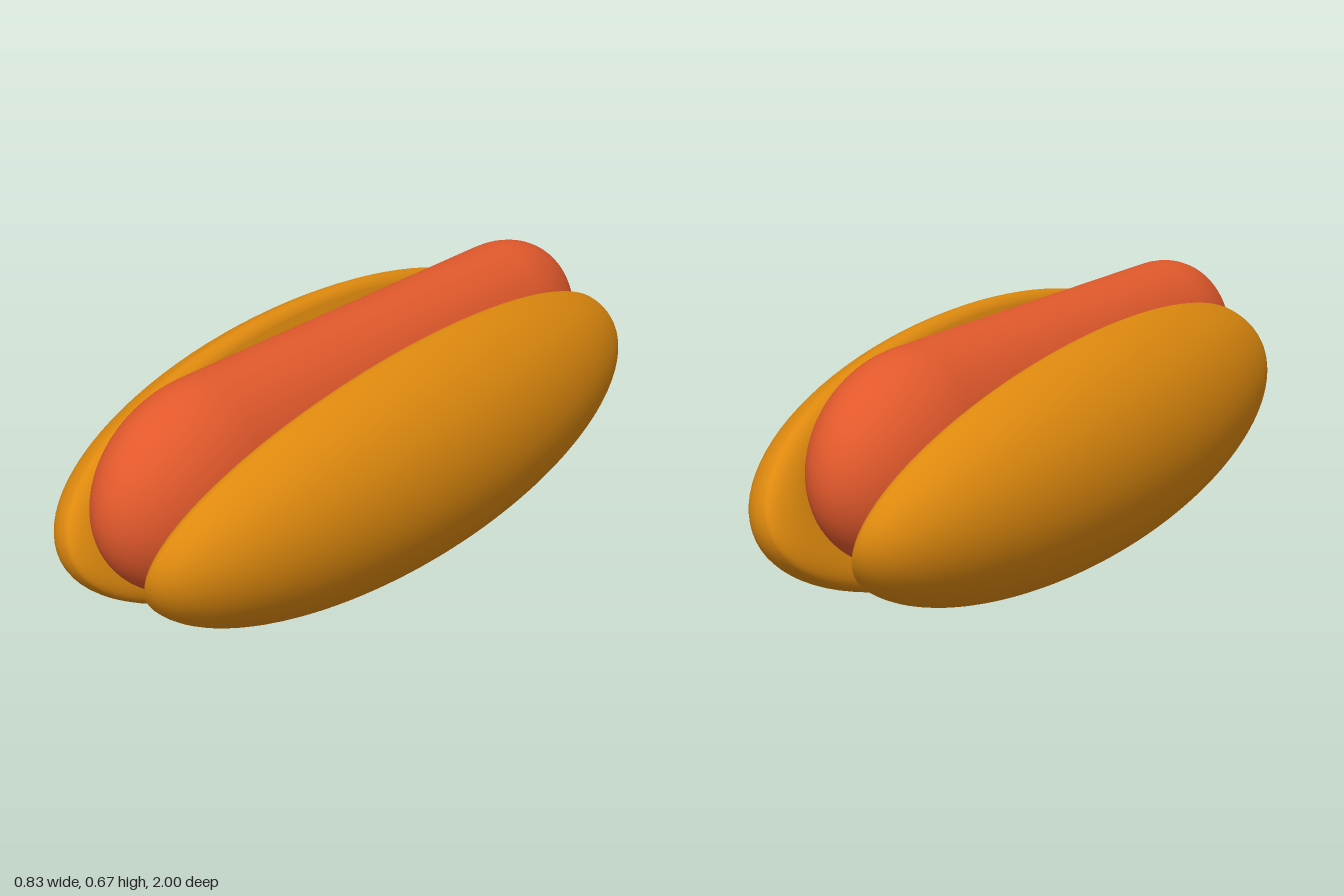
import * as THREE from 'three';

const bunMaterial = new THREE.MeshStandardMaterial({ color: 0xde890e });
const sausageMaterial = new THREE.MeshStandardMaterial({ color: 0xe2592c });

// Half ellipsoid profile: flat cut face, rounded rim, domed crust
function bunGeometry() {
  const radius = 0.331, rim = 0.035, depth = 0.29;
  const points = [new THREE.Vector2(0, 0), new THREE.Vector2(0.15, 0)];
  for (let i = 0; i <= 10; i++) {
    const a = (i / 10) * Math.PI / 2;
    points.push(new THREE.Vector2(radius - rim + rim * Math.sin(a), rim - rim * Math.cos(a)));
  }
  for (let i = 1; i <= 28; i++) {
    const a = (i / 28) * Math.PI / 2;
    points.push(new THREE.Vector2(i === 28 ? 0 : radius * Math.cos(a), rim + depth * Math.sin(a)));
  }
  const geometry = new THREE.LatheGeometry(points, 96);
  geometry.scale(1, 1, 1 / radius); // stretch into a long roll
  return geometry;
}

export function createModel() {
  const model = new THREE.Group();
  model.name = 'hotDog';

  // Two bun halves leaning open in a V
  const geometry = bunGeometry();
  const tilt = THREE.MathUtils.degToRad(110.6);
  for (const side of [1, -1]) {
    const bun = new THREE.Mesh(geometry, bunMaterial);
    bun.name = side > 0 ? 'leftBunHalf' : 'rightBunHalf';
    bun.rotation.z = -side * tilt;
    bun.position.set(side * 0.0845, 0.34, 0);
    model.add(bun);
  }

  // Sausage: a capsule, taller than wide, with elongated ends
  const stretch = 1.33;
  const capsule = new THREE.CapsuleGeometry(0.253, 1.27 / stretch, 20, 64);
  capsule.rotateX(Math.PI / 2);
  capsule.scale(0.71, 1, stretch);
  const sausage = new THREE.Mesh(capsule, sausageMaterial);
  sausage.name = 'sausage';
  sausage.position.set(-0.005, 0.419, 0.022);
  sausage.rotation.x = 0.005;
  model.add(sausage);

  return model;
}
